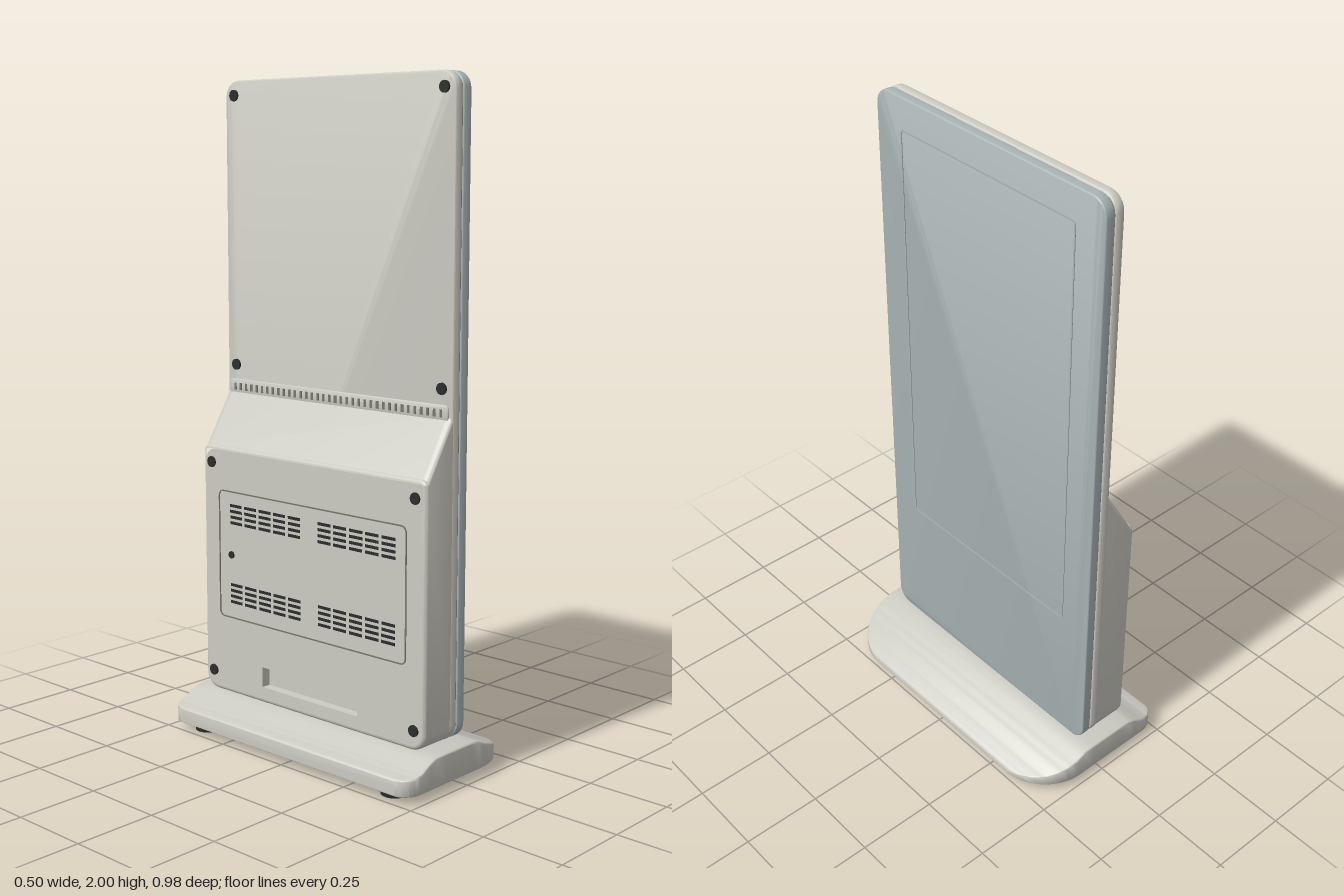
import * as THREE from 'three';
import { toCreasedNormals } from 'three/addons/utils/BufferGeometryUtils.js';

const paint = (color) => new THREE.MeshStandardMaterial({ color, roughness: 0.7 });

// Rounded rectangle across x: counter-clockwise seen from +x, as [x, y, z] points
function ring(x, hw, y0, y1, rBottom, rTop, steps = 6) {
  const corners = [
    [hw - rBottom, y0 + rBottom, rBottom, -90], [hw - rTop, y1 - rTop, rTop, 0],
    [-hw + rTop, y1 - rTop, rTop, 90], [-hw + rBottom, y0 + rBottom, rBottom, 180],
  ];
  const pts = [];
  for (const [cu, cy, r, start] of corners) {
    for (let i = 0; i <= steps; i++) {
      const a = THREE.MathUtils.degToRad(start + (90 * i) / steps);
      pts.push([x, cy + r * Math.sin(a), -(cu + r * Math.cos(a))]);
    }
  }
  return pts;
}

// Skin over rings ordered by rising x, with flat ends
function loft(rings, capStart = true) {
  const n = rings[0].length, index = [];
  const last = (rings.length - 1) * n;
  for (let i = 0; i < rings.length - 1; i++) {
    for (let j = 0; j < n; j++) {
      const a = i * n + j, b = i * n + ((j + 1) % n);
      index.push(a, b, b + n, a, b + n, a + n);
    }
  }
  for (let j = 1; j < n - 1; j++) {
    index.push(last, last + j, last + j + 1);
    if (capStart) index.push(0, j + 1, j);
  }
  const geo = new THREE.BufferGeometry();
  geo.setAttribute('position', new THREE.Float32BufferAttribute(rings.flat(2), 3));
  geo.setIndex(index);
  return toCreasedNormals(geo, 0.6);
}

// Upright panel with rounded corners and softened edges
function slab(x0, x1, hw, y0, y1, r, bevel) {
  const rings = [];
  const add = (x, e) => rings.push(ring(x, hw - e, y0 + e, y1 - e, r - e, r - e));
  for (let i = 0; i <= 4; i++) {
    const a = (i / 4) * Math.PI / 2;
    add(x0 + bevel * (1 - Math.sin(a)) * 1, bevel * (1 - Math.cos(a)));
  }
  rings.reverse();
  for (let i = 0; i <= 4; i++) {
    const a = (i / 4) * Math.PI / 2;
    add(x1 - bevel * (1 - Math.sin(a)), bevel * (1 - Math.cos(a)));
  }
  rings.sort((p, q) => p[0][0] - q[0][0]);
  return loft(rings);
}

function rectPath(target, hw, y0, y1, r) {
  const pts = ring(0, hw, y0, y1, r, r).map((p) => new THREE.Vector2(-p[2], p[1]));
  target.setFromPoints(pts);
  return target;
}

// Thin raised outline on a face across x
function frame(hw, y0, y1, r, line, depth) {
  const shape = rectPath(new THREE.Shape(), hw, y0, y1, r);
  shape.holes.push(rectPath(new THREE.Path(), hw - line, y0 + line, y1 - line, r - line));
  return new THREE.ExtrudeGeometry(shape, { depth, bevelEnabled: false }).rotateY(Math.PI / 2);
}

// Foot plate: height and half-width both vary along x
function baseGeometry() {
  const profile = [[-0.252, 0.071], [-0.21, 0.077], [-0.18, 0.088], [-0.15, 0.105], [-0.125, 0.113],
    [-0.08, 0.115], [0.03, 0.115], [0.065, 0.111], [0.1, 0.097], [0.2, 0.059], [0.252, 0.042]];
  const lerp = THREE.MathUtils.lerp, rings = [];
  const height = (x) => {
    let i = 0;
    while (i < profile.length - 2 && x > profile[i + 1][0]) i++;
    const [[xa, ya], [xb, yb]] = [profile[i], profile[i + 1]];
    return lerp(ya, yb, (x - xa) / (xb - xa));
  };
  const halfWidth = (x) => {
    const back = Math.max(0, (-0.192 - x) / 0.06), front = Math.max(0, (x - 0.085) / 0.167);
    return 0.488 - 0.06 * (1 - Math.sqrt(Math.max(0, 1 - back * back)))
      - 0.175 * (1 - Math.sqrt(Math.max(0, 1 - front * front)));
  };
  const xs = profile.slice(1, -2).map((p) => p[0]);
  for (let i = 0; i <= 16; i++) {
    const a = (i / 16) * Math.PI / 2;
    xs.push(-0.192 - 0.06 * Math.sin(a), 0.085 + 0.167 * Math.sin(a));
  }
  xs.sort((p, q) => p - q);
  for (const x of xs) {
    const e = Math.min(x + 0.252, 0.252 - x), k = Math.max(0, 1 - e / 0.008);
    const inset = 0.008 * (1 - Math.sqrt(Math.max(0, 1 - k * k)));
    rings.push(ring(x, halfWidth(x), 0.024 + inset * 0.6, height(x) - inset, 0.004, 0.007, 4));
  }
  return loft(rings);
}

export function createModel() {
  const model = new THREE.Group();
  const shell = paint(0xcccbc3), glass = paint(0xaab5b6), dark = paint(0x2c2d2d), line = paint(0x77776f);
  const add = (name, geo, mat, x = 0, y = 0, z = 0, parent = model) => {
    const mesh = new THREE.Mesh(geo, mat);
    mesh.name = name;
    mesh.position.set(x, y, z);
    parent.add(mesh);
    return mesh;
  };
  const group = (name) => {
    const g = new THREE.Group();
    g.name = name;
    model.add(g);
    return g;
  };

  // Base and its feet
  add('base', baseGeometry(), shell);
  const feet = group('feet');
  const footGeo = new THREE.CylinderGeometry(0.043, 0.039, 0.026, 32);
  for (const x of [-0.185, 0.153]) for (const z of [-0.385, 0.385]) add('foot', footGeo, dark, x, 0.013, z, feet);

  // Screen front, dark seam and rear plate
  add('frontGlass', slab(0.012, 0.045, 0.45, 0.115, 2, 0.05, 0.005), glass);
  add('seam', slab(0.006, 0.015, 0.445, 0.12, 1.995, 0.045, 0.001), line);
  add('rearPlate', slab(-0.021, 0.01, 0.45, 0.115, 2, 0.05, 0.008), shell);
  add('displayOutline', frame(0.347, 0.563, 1.907, 0.015, 0.005, 0.002), glass, 0.045);

  // Lower housing with a sloping top and rounded rear edges
  const back = -0.132, sections = [];
  for (let i = 0; i <= 5; i++) {
    const a = (i / 5) * Math.PI / 2, e = 0.012 * (1 - Math.sin(a));
    sections.push(ring(back + 0.012 * (1 - Math.cos(a)), 0.448 - e, 0.115 + e, 0.895 - e, 0.05 - e, 0.022 - e));
  }
  sections.push(ring(-0.02, 0.448, 0.115, 1.06, 0.05, 0.022), ring(0, 0.448, 0.115, 1.06, 0.05, 0.022));
  add('housing', loft(sections, false), shell);

  // Rear wall of the housing with a handle recess cut into it
  const wall = rectPath(new THREE.Shape(), 0.436, 0.127, 0.883, 0.038);
  wall.holes.push(rectPath(new THREE.Path(), 0.195, 0.165, 0.228, 0.004));
  add('housingWall', new THREE.ShapeGeometry(wall).rotateY(-Math.PI / 2), shell, back);
  const inside = shell.clone();
  inside.side = THREE.BackSide;
  const recess = new THREE.BoxGeometry(0.03, 0.063, 0.39);
  recess.setIndex([...recess.index.array].filter((_, i) => i < 6 || i >= 12));
  add('handleRecess', recess, inside, back + 0.015, 0.1965, 0);

  // Service hatch outline and its vent slots
  add('hatchOutline', frame(0.38, 0.358, 0.76, 0.02, 0.004, 0.002), line, back - 0.002);
  const vents = group('vents');
  const slot = new THREE.BoxGeometry(0.002, 0.009, 0.05);
  for (const top of [0.715, 0.465]) for (const z0 of [-0.305, 0.065]) {
    for (let row = 0; row < 4; row++) for (let col = 0; col < 5; col++) {
      add('ventSlot', slot, dark, back, top - row * 0.018, z0 + col * 0.062, vents);
    }
  }

  // Raised strip and row of slits where the slope meets the rear plate
  add('slopeStrip', slab(-0.027, -0.018, 0.435, 1.04, 1.09, 0.01, 0.003), shell);
  const slits = group('slopeSlits');
  const slit = new THREE.BoxGeometry(0.004, 0.022, 0.009);
  for (let i = 0; i < 36; i++) add('slit', slit, line, -0.0265, 1.067, (i - 17.5) * 0.0235, slits);

  // Screws on the plate and the housing, and the hatch lock
  const screws = group('screws');
  const screwGeo = new THREE.CylinderGeometry(0.017, 0.017, 0.01, 20).rotateZ(Math.PI / 2);
  for (const [x, y] of [[-0.022, 1.955], [-0.022, 1.135], [back, 0.842], [back, 0.175]]) {
    for (const z of [-0.41, 0.41]) add('screw', screwGeo, dark, x, y, z, screws);
  }
  add('hatchLock', new THREE.CylinderGeometry(0.011, 0.011, 0.01, 20).rotateZ(Math.PI / 2), dark, back, 0.56, -0.325);
  return model;
}
